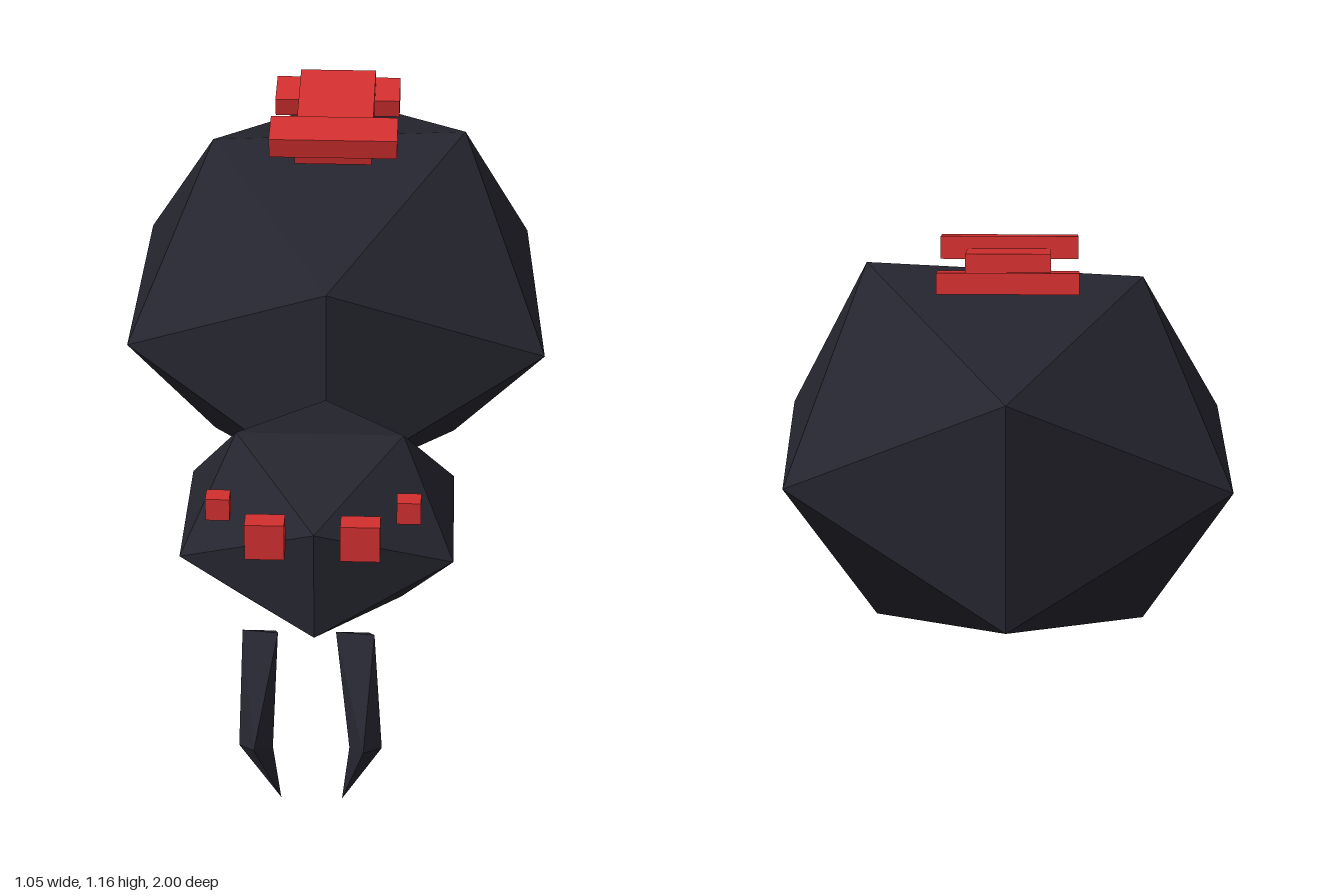
import * as THREE from 'three';

const CX = -0.015; // symmetry line of the body

export function createModel() {
  const model = new THREE.Group();
  model.name = 'spider';
  const shell = new THREE.MeshStandardMaterial({ color: 0x25252f });
  shell.name = 'dark shell';
  const red = new THREE.MeshStandardMaterial({ color: 0xd32f2f });
  red.name = 'red';

  const add = (name, geometry, material, x = 0, y = 0, z = 0) => {
    const mesh = new THREE.Mesh(geometry, material);
    mesh.name = name;
    mesh.position.set(x, y, z);
    model.add(mesh);
    return mesh;
  };

  // Faceted solid from corner points and triangles
  const faceted = (points, faces) => {
    const g = new THREE.BufferGeometry();
    g.setAttribute('position', new THREE.Float32BufferAttribute(points.flat(), 3));
    g.setIndex(faces.flat());
    const flat = g.toNonIndexed();
    flat.computeVertexNormals();
    return flat;
  };

  // Front body: squashed icosahedron
  const thorax = new THREE.IcosahedronGeometry(0.372, 0).scale(1, 0.7, 1);
  add('thorax', thorax, shell, CX, 0.487, 0.485);

  // Abdomen: slightly irregular icosahedron
  const corners = [
    [-0.325, 1.058, -0.405], [0.315, 1.09, -0.405], [-0.335, 0.217, -0.405], [0.302, 0.223, -0.405],
    [CX, 0.375, 0.168], [CX, 0.897, 0.145], [CX, 0.39, -0.975], [CX, 0.92, -1.0],
    [0.49, 0.65, -0.755], [0.522, 0.645, -0.04], [-0.523, 0.645, -0.755], [-0.523, 0.645, -0.06],
  ];
  const triangles = [
    [0, 11, 5], [0, 5, 1], [0, 1, 7], [0, 7, 10], [0, 10, 11],
    [1, 5, 9], [5, 11, 4], [11, 10, 2], [10, 7, 6], [7, 1, 8],
    [3, 9, 4], [3, 4, 2], [3, 2, 6], [3, 6, 8], [3, 8, 9],
    [4, 9, 5], [2, 4, 11], [6, 2, 10], [8, 6, 7], [9, 8, 1],
  ];
  add('abdomen', faceted(corners, triangles), shell);

  // Fangs: three-sided, bent at the knee; points run front, right side, left side
  const fang = (name, top, knee, tip) => {
    const faces = [[0, 2, 1]];
    for (let k = 0; k < 3; k++) {
      const n = (k + 1) % 3;
      faces.push([n, n + 3, k + 3], [n, k + 3, k], [n + 3, 6, k + 3]);
    }
    add(name, faceted([...top, ...knee, tip], faces), shell);
  };
  fang('rightFang',
    [[-0.095, 0.39, 0.845], [-0.18, 0.357, 0.785], [-0.105, 0.335, 0.752]],
    [[-0.143, 0.172, 1.0], [-0.18, 0.148, 0.944], [-0.103, 0.145, 0.944]],
    [-0.085, 0, 0.94]);
  fang('leftFang',
    [[0.125, 0.39, 0.845], [0.035, 0.357, 0.785], [0.11, 0.335, 0.752]],
    [[0.105, 0.172, 1.0], [0.072, 0.148, 0.944], [0.146, 0.148, 0.944]],
    [0.055, 0, 0.94]);

  // Eyes: a large and a small block on each side
  for (const [side, s] of [['left', 1], ['right', -1]]) {
    add(side + 'LargeEye', new THREE.BoxGeometry(0.089, 0.089, 0.05), red, CX + s * 0.107, 0.645, 0.845);
    add(side + 'SmallEye', new THREE.BoxGeometry(0.054, 0.054, 0.044), red, CX + s * 0.214, 0.7, 0.802);
  }

  // Hourglass marking: tilted stem with two crossbars
  const bars = [
    ['markingStem', 0.193, 0.045, 0.357, 1.107, -0.45],
    ['markingFrontBar', 0.32, 0.053, 0.104, 1.107, -0.318],
    ['markingBackBar', 0.32, 0.048, 0.108, 1.094, -0.61],
  ];
  for (const [name, w, h, d, y, z] of bars) {
    add(name, new THREE.BoxGeometry(w, h, d), red, CX, y, z).rotation.x = 0.19;
  }

  return model;
}
